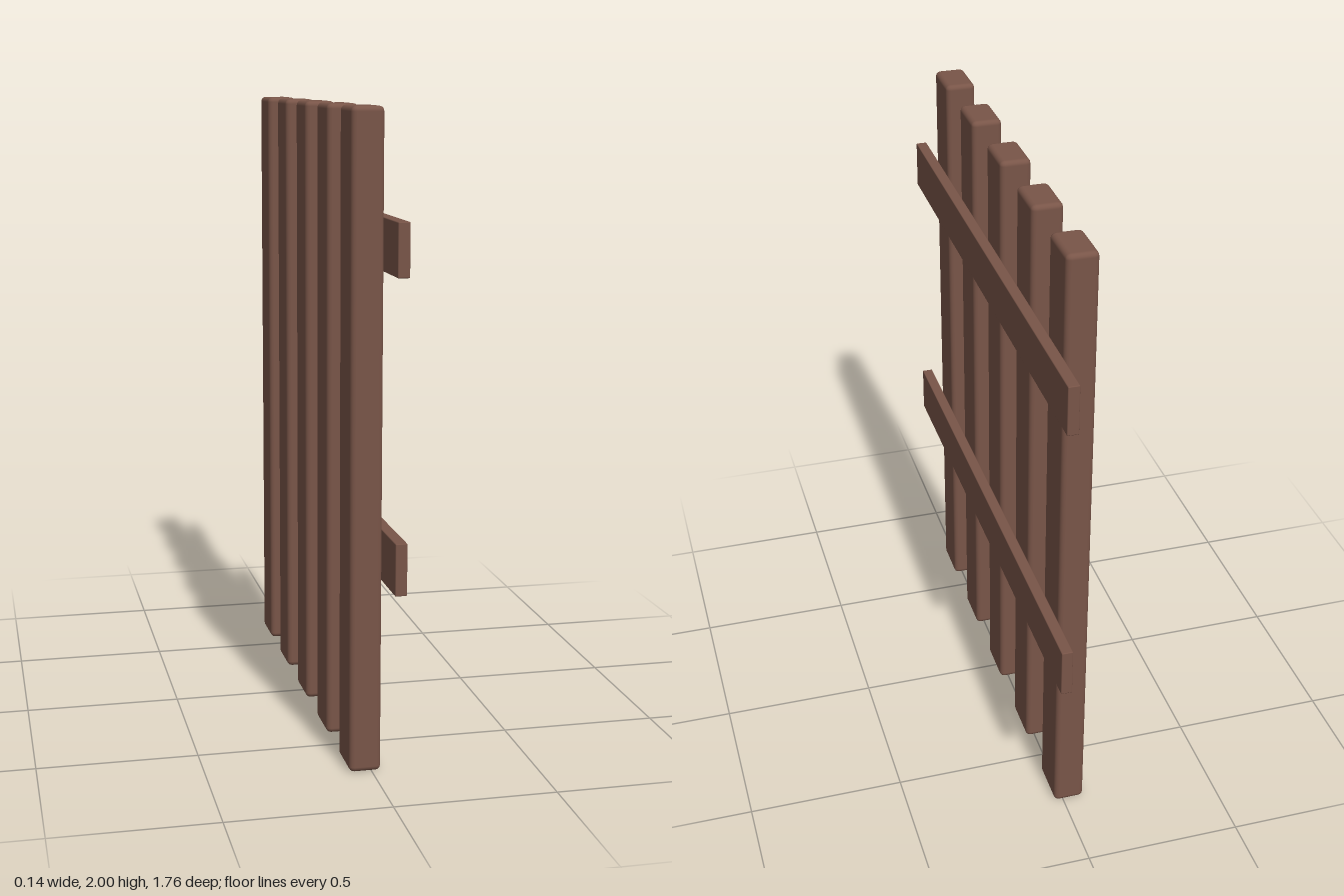
import * as THREE from 'three';
import { RoundedBoxGeometry } from 'three/addons/geometries/RoundedBoxGeometry.js';

export function createModel() {
  const model = new THREE.Group();
  model.name = 'picketFence';

  const brownWood = new THREE.MeshStandardMaterial({ color: 0x795548 });
  brownWood.name = 'brownWood';

  const addBoard = (name, geometry, x, y, z) => {
    const board = new THREE.Mesh(geometry, brownWood);
    board.name = name;
    board.position.set(x, y, z);
    model.add(board);
  };

  // Five upright pickets with softened edges, evenly spaced along z
  const picket = new RoundedBoxGeometry(0.098, 2, 0.16, 2, 0.016);
  for (let i = 0; i < 5; i++) {
    addBoard(`picket${i + 1}`, picket, -0.02, 1, 0.004 + (i - 2) * 0.326);
  }

  // Two thin rails running across the pickets on the +x side
  const rail = new RoundedBoxGeometry(0.036, 0.158, 1.762, 1, 0.003);
  addBoard('lowerRail', rail, 0.049, 0.675, 0);
  addBoard('upperRail', rail, 0.049, 1.604, 0);

  return model;
}
